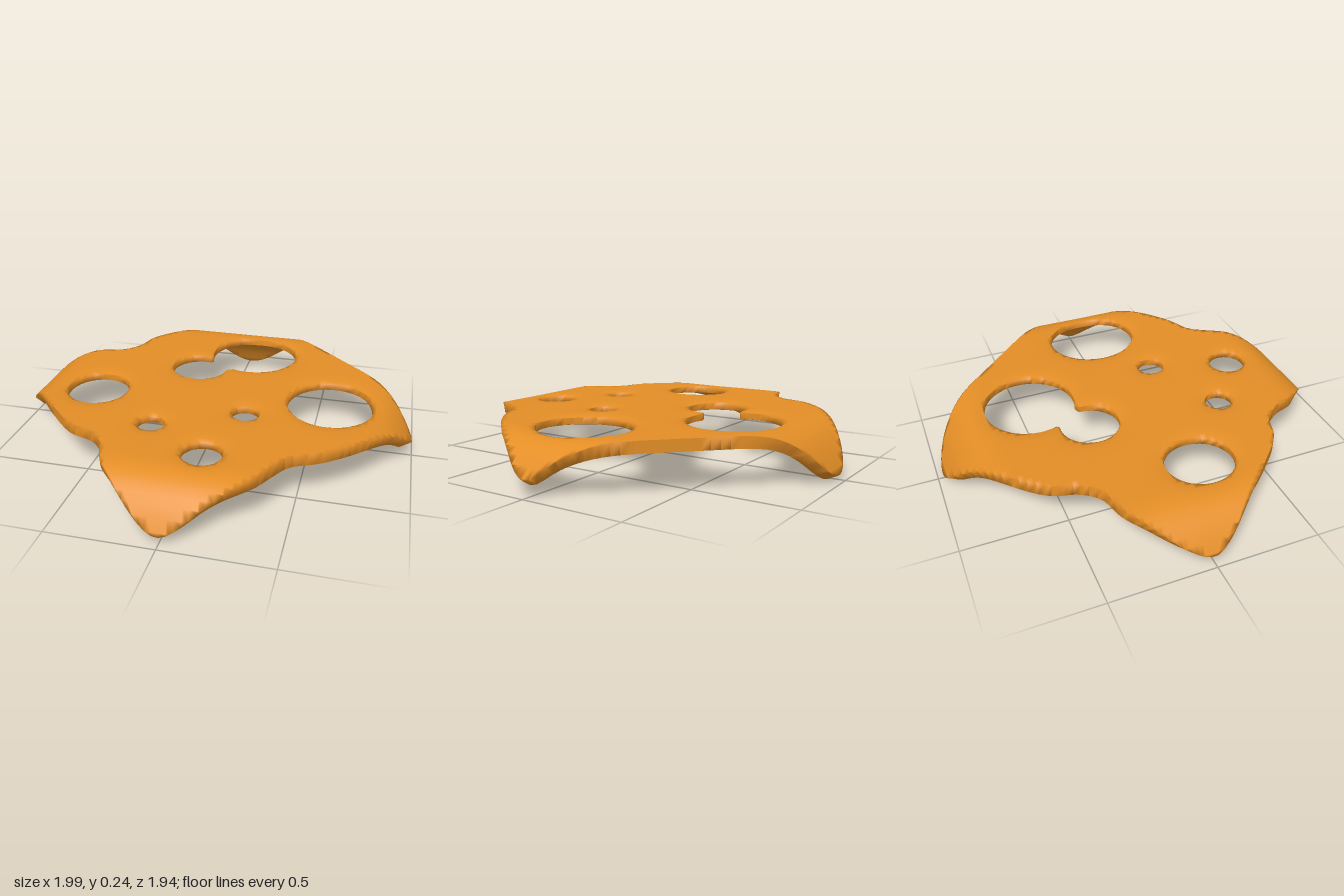
import * as THREE from 'three';

// Outline of the slice seen from above, as [x, z]
const OUTLINE = [
  [0.995, 0], [0.89, 0.2], [0.75, 0.36], [0.59, 0.49], [0.47, 0.55], [0.41, 0.64], [0.34, 0.76],
  [0.19, 0.88], [0.06, 0.955], [-0.02, 0.968], [-0.12, 0.935], [-0.25, 0.84], [-0.33, 0.74],
  [-0.365, 0.64], [-0.44, 0.55], [-0.57, 0.5], [-0.72, 0.36], [-0.88, 0.19], [-0.97, 0.07],
  [-0.998, -0.02], [-0.95, -0.16], [-0.85, -0.27], [-0.74, -0.34], [-0.62, -0.375], [-0.55, -0.455],
  [-0.51, -0.58], [-0.4, -0.71], [-0.235, -0.86], [-0.1, -0.95], [0.01, -0.975], [0.14, -0.945],
  [0.27, -0.845], [0.43, -0.68], [0.62, -0.49], [0.81, -0.295], [0.93, -0.13],
];

// Holes: [x, z, radius x, radius z]; the first two overlap
const HOLES = [
  [0.11, -0.495, 0.23, 0.225], [-0.145, -0.265, 0.145, 0.145], [0.588, 0.005, 0.212, 0.23],
  [-0.585, 0.105, 0.155, 0.165], [0.2, 0.2, 0.068, 0.068], [-0.21, 0.395, 0.068, 0.068],
  [0.09, 0.6, 0.095, 0.095],
];

const TOP = 0.235, THICKNESS = 0.055, CELLS = 70, SPAN = 2.1;

const border = new THREE.CatmullRomCurve3(
  OUTLINE.map(([x, z]) => new THREE.Vector3(x, 0, z)), true).getPoints(144);

// Signed distance to the outline, positive inside
function outlineDistance(x, z) {
  let best = Infinity, inside = false;
  for (let k = 0; k < border.length - 1; k++) {
    const a = border[k], b = border[k + 1];
    const ex = b.x - a.x, ez = b.z - a.z;
    const len = ex * ex + ez * ez;
    if (len === 0) continue;
    const t = THREE.MathUtils.clamp(((x - a.x) * ex + (z - a.z) * ez) / len, 0, 1);
    best = Math.min(best, Math.hypot(x - a.x - t * ex, z - a.z - t * ez));
    if ((a.z > z) !== (b.z > z) && x < a.x + (ex * (z - a.z)) / ez) inside = !inside;
  }
  return inside ? best : -best;
}

// Distance to the nearest hole, negative within it
function holeDistance(x, z) {
  return Math.min(...HOLES.map(([cx, cz, rx, rz]) =>
    (Math.hypot((x - cx) / rx, (z - cz) / rz) - 1) * Math.min(rx, rz)));
}

const material = (x, z) => Math.min(outlineDistance(x, z), holeDistance(x, z));

// The four corners droop
const bend = (t, start, depth) => depth * Math.pow(Math.max(0, (Math.abs(t) - start) / 0.32), 3.2);
const height = (x, z) => TOP - bend(x, 0.68, 0.175) - bend(z, 0.65, 0.21);

// Top and bottom points of the sheet, thinner at the rounded hole rims
function sheetPair(x, z) {
  const e = 0.002;
  const n = new THREE.Vector3(
    (height(x - e, z) - height(x + e, z)) / (2 * e), 1,
    (height(x, z - e) - height(x, z + e)) / (2 * e)).normalize();
  const round = 0.012 * Math.exp(-Math.max(0, holeDistance(x, z)) / 0.03);
  const p = new THREE.Vector3(x, height(x, z), z);
  return [p.clone().addScaledVector(n, -round), p.addScaledVector(n, round - THICKNESS)];
}

// Grid of cells trimmed along the outline and holes, with a top, a bottom and rim walls
function sheetGeometry() {
  const at = (i) => (i / CELLS - 0.5) * SPAN;
  const field = [];
  for (let i = 0; i <= CELLS; i++) {
    field.push([]);
    for (let j = 0; j <= CELLS; j++) field[i].push(material(at(i), at(j)));
  }
  const positions = [], index = [], known = new Map();

  // Each vertex is a pair: top at 2k, bottom at 2k + 1
  function vertex(key, x, z) {
    if (!known.has(key)) {
      known.set(key, positions.length / 3);
      for (const p of sheetPair(x, z)) positions.push(p.x, p.y, p.z);
    }
    return known.get(key);
  }
  function crossing([i, j], [k, l]) {
    const key = [Math.min(i, k), Math.min(j, l), i === k ? 'z' : 'x'].join();
    const f = field[i][j], g = field[k][l], t = f / (f - g);
    return vertex(key, at(i) + t * (at(k) - at(i)), at(j) + t * (at(l) - at(j)));
  }

  for (let i = 0; i < CELLS; i++) for (let j = 0; j < CELLS; j++) {
    const corners = [[i, j], [i, j + 1], [i + 1, j + 1], [i + 1, j]];
    const loop = [];
    corners.forEach((c, k) => {
      const d = corners[(k + 1) % 4];
      const here = field[c[0]][c[1]] > 0, next = field[d[0]][d[1]] > 0;
      if (here) loop.push({ v: vertex(c.join(), at(c[0]), at(c[1])) });
      if (here !== next) loop.push({ v: crossing(c, d), exit: here });
    });
    for (let k = 1; k < loop.length - 1; k++) {
      const [a, b, c] = [loop[0].v, loop[k].v, loop[k + 1].v];
      index.push(a, b, c, a + 1, c + 1, b + 1);
    }
    loop.forEach(({ v: a, exit }, k) => {
      if (!exit) return;
      const b = loop[(k + 1) % loop.length].v;
      index.push(b, a, a + 1, b, a + 1, b + 1);
    });
  }
  const geometry = new THREE.BufferGeometry();
  geometry.setAttribute('position', new THREE.Float32BufferAttribute(positions, 3));
  geometry.setIndex(index);
  geometry.computeVertexNormals();
  geometry.computeBoundingBox();
  geometry.translate(0, -geometry.boundingBox.min.y, 0);
  return geometry;
}

export function createModel() {
  const group = new THREE.Group();
  group.name = 'cheeseSlice';
  const cheese = new THREE.MeshStandardMaterial({ color: 0xe48e26 });
  cheese.name = 'cheese orange';
  const slice = new THREE.Mesh(sheetGeometry(), cheese);
  slice.name = 'slice';
  group.add(slice);
  return group;
}
